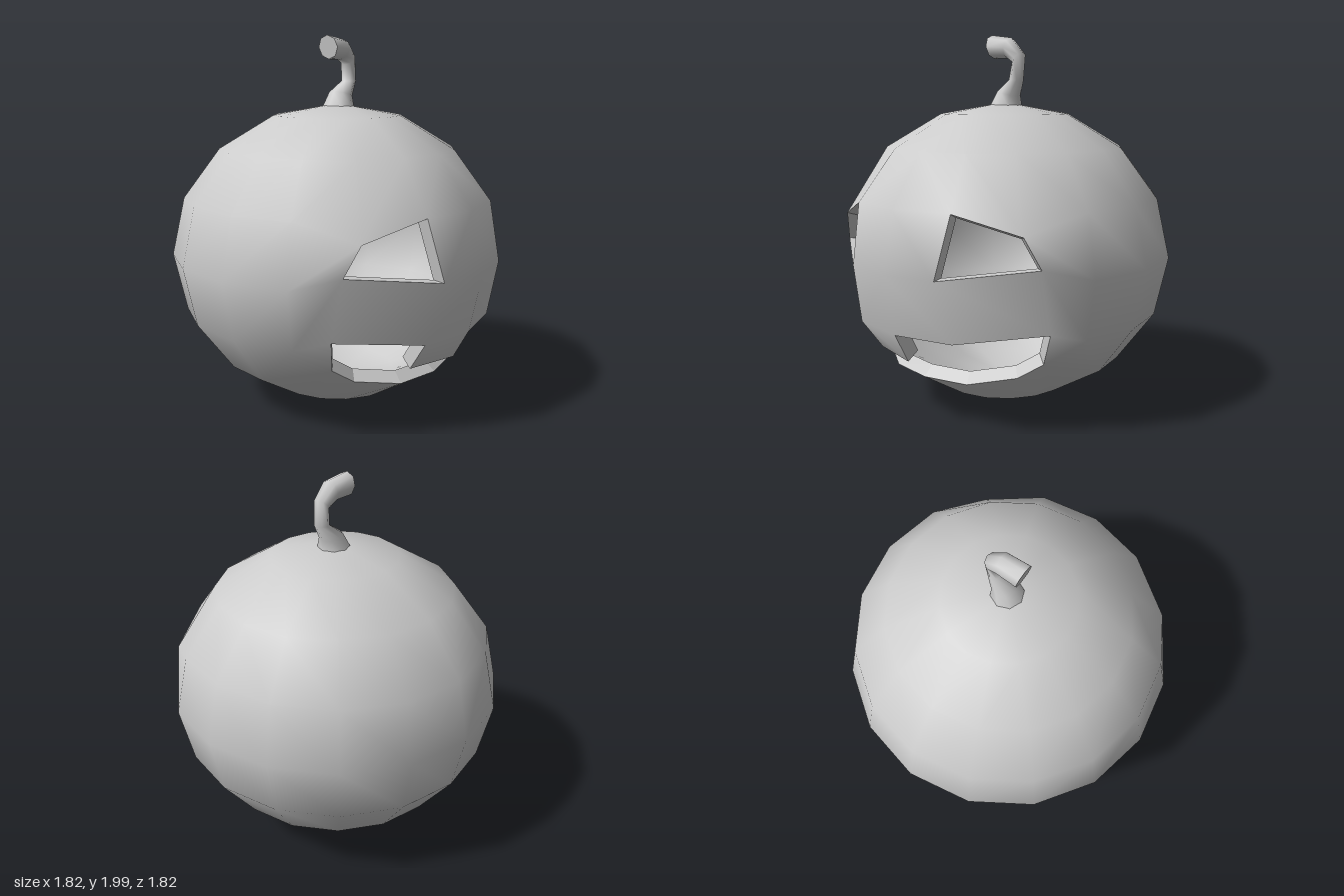
import * as THREE from 'three';

const COLS = 16, RINGS = 8;
const RADIUS = 0.91, HEIGHT = 0.815, CENTRE_Y = 0.822;
const WALL = 0.91; // inner skin scale

const material = new THREE.MeshStandardMaterial({ color: 0xcccccc });

function toMesh(name, points, index, flat = false) {
  let geometry = new THREE.BufferGeometry();
  geometry.setAttribute('position', new THREE.Float32BufferAttribute(points.flat(), 3));
  geometry.setIndex(index.flat());
  if (flat) geometry = geometry.toNonIndexed();
  geometry.computeVertexNormals();
  const mesh = new THREE.Mesh(geometry, material);
  mesh.name = name;
  return mesh;
}

// Index of a sphere vertex: ring 0 is the top pole, column 0 faces the front.
function id(ring, col) {
  if (ring === 0) return 0;
  if (ring === RINGS) return 1;
  return 2 + (ring - 1) * COLS + (col + COLS) % COLS;
}

function createBody() {
  // Squashed sphere
  const points = [[0, CENTRE_Y + HEIGHT, 0], [0, CENTRE_Y - HEIGHT, 0]];
  for (let k = 1; k < RINGS; k++) {
    const t = k * Math.PI / RINGS;
    for (let j = 0; j < COLS; j++) {
      const a = j * 2 * Math.PI / COLS, r = RADIUS * Math.sin(t);
      points.push([r * Math.sin(a), CENTRE_Y + HEIGHT * Math.cos(t), r * Math.cos(a)]);
    }
  }

  // Pull the corners of the eyes and mouth into shape, mirrored
  const moved = [
    [3, 2, 0.62, 1.035, 0.61],
    [4, 1, 0.285, 0.825, 0.855],
    [4, 2, 0.68, 0.88, 0.55],
    [5, 2, 0.68, 0.555, 0.48],
    [6, 2, 0.46, 0.29, 0.456],
    [6, 3, 0.595, 0.38, 0.42],
  ];
  for (const [k, j, x, y, z] of moved) {
    points[id(k, j)] = [x, y, z];
    points[id(k, -j)] = [-x, y, z];
  }

  // Skin, leaving out the eye and mouth cells
  const faces = [];
  for (let k = 0; k < RINGS; k++) {
    for (let j = -COLS / 2; j < COLS / 2; j++) {
      const side = j < 0 ? -1 - j : j; // mirrored column
      if (k === 3 && side === 1) continue; // eye
      if (k === 5 && side < 2) continue; // mouth
      const a = id(k, j), b = id(k + 1, j), c = id(k + 1, j + 1), d = id(k, j + 1);
      let pair = j < 0 ? [[a, b, d], [b, c, d]] : [[a, c, d], [a, b, c]];
      if (k === 5 && side === 2) pair = [pair[0]]; // mouth corner
      faces.push(...pair.filter(([p, q, r]) => p !== q && q !== r && r !== p));
    }
  }

  // Tooth hanging from the upper lip
  const t = points.length;
  points.push([-0.285, 0.355, 0.67], [0, 0.355, 0.755]);
  faces.push([id(5, -1), t, t + 1], [id(5, -1), t + 1, id(5, 0)]);

  const inner = points.map(([x, y, z]) => [x * WALL, CENTRE_Y + (y - CENTRE_Y) * WALL, z * WALL]);

  // Cut walls along every open edge
  const n = points.length;
  const edges = faces.flatMap(([a, b, c]) => [[a, b], [b, c], [c, a]]);
  const keys = new Set(edges.map(([p, q]) => p + '_' + q));
  const walls = [];
  for (const [p, q] of edges) {
    if (!keys.has(q + '_' + p)) walls.push([q, p, p + n], [q, p + n, q + n]);
  }

  const body = new THREE.Group();
  body.name = 'pumpkinBody';
  body.add(
    toMesh('outerSkin', points, faces),
    toMesh('innerSkin', inner, faces.map(([a, b, c]) => [a, c, b])),
    toMesh('cutWalls', [...points, ...inner], walls, true),
  );
  return body;
}

function createStem() {
  const SIDES = 8;
  // Cross-sections: centre x, y, z, radius, tilt in the xy plane, depth radius
  const sections = [
    [0.008, 1.615, 0, 0.088, 0, 0.088],
    [0.03, 1.685, 0, 0.063, -0.25, 0.065],
    [0.088, 1.755, 0.01, 0.038, 0, 0.042],
    [0.097, 1.87, 0, 0.04, 0.75, 0.045],
    [0.035, 1.925, 0, 0.056, 1.4, 0.058],
    [-0.082, 1.935, 0, 0.064, 1.7, 0.063],
  ];
  const points = [], faces = [];
  sections.forEach(([x, y, z, r, tilt, depth], i) => {
    for (let s = 0; s < SIDES; s++) {
      const a = s * 2 * Math.PI / SIDES, u = r * Math.cos(a);
      points.push([x + u * Math.cos(tilt), y + u * Math.sin(tilt), z + depth * Math.sin(a)]);
      if (i === 0) continue;
      const next = (s + 1) % SIDES, lo = (i - 1) * SIDES, hi = i * SIDES;
      faces.push([lo + s, hi + s, hi + next], [lo + s, hi + next, lo + next]);
    }
  });

  // Cut end
  const rim = points.slice(-SIDES);
  const cap = rim.slice(2).map((_, i) => [0, i + 2, i + 1]);

  const stem = new THREE.Group();
  stem.name = 'stem';
  stem.add(toMesh('stemSide', points, faces), toMesh('stemEnd', rim, cap, true));
  return stem;
}

export function createModel() {
  const model = new THREE.Group();
  model.name = 'carvedPumpkin';
  model.add(createBody(), createStem());
  return model;
}
